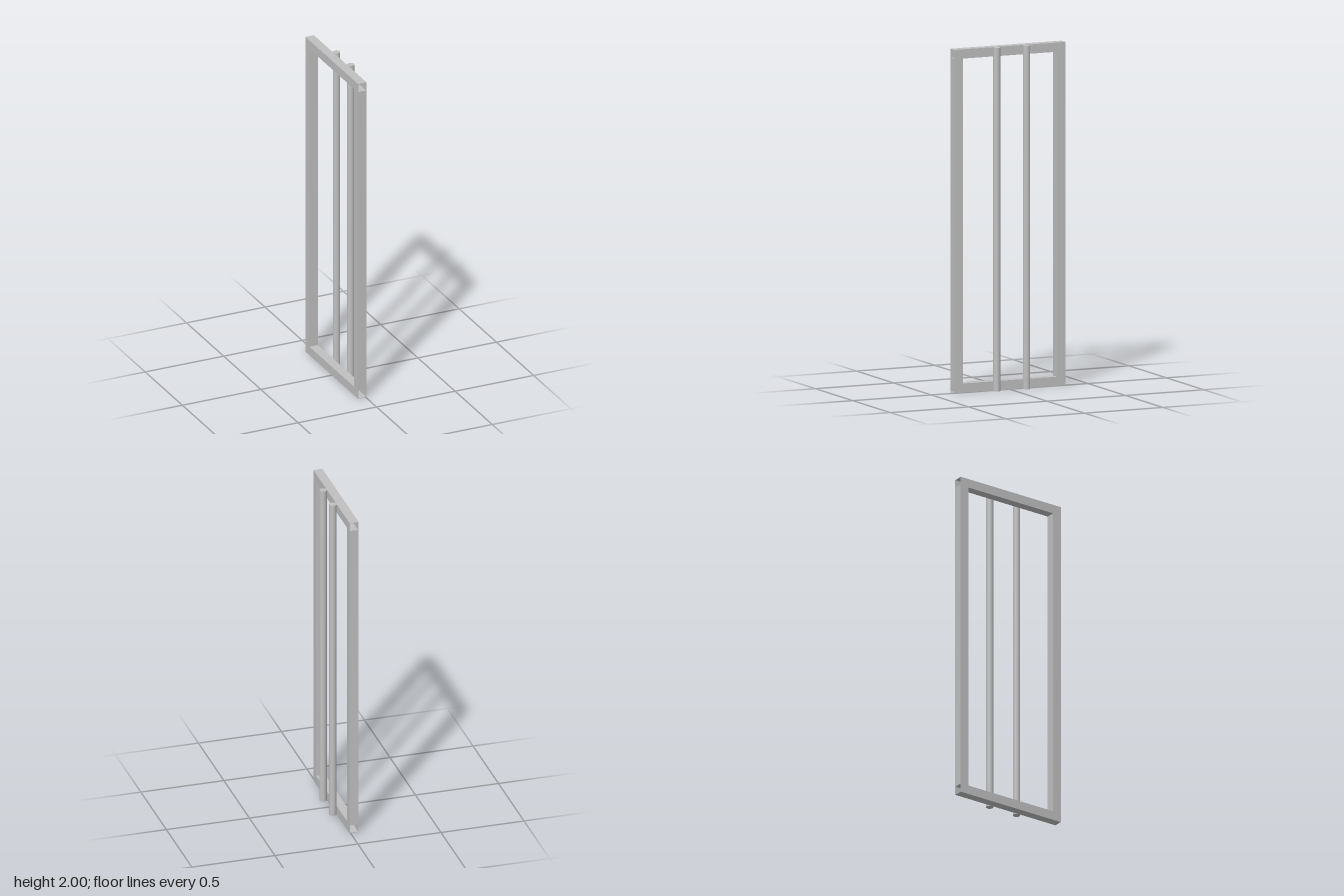
import * as THREE from 'three';

const HEIGHT = 2;
const HALF_DEPTH = 0.355;
const TUBE = 0.054;
const WALL = 0.003;
const FRAME_X = -0.0215;
const ROD_RADIUS = 0.0213;

// Square hollow tube, open at both ends, centred and running along z
function squareTube(length) {
  const square = (size, Type) => {
    const h = size / 2;
    return new Type([[-h, -h], [h, -h], [h, h], [-h, h]].map(([x, y]) => new THREE.Vector2(x, y)));
  };
  const shape = square(TUBE, THREE.Shape);
  shape.holes.push(square(TUBE - 2 * WALL, THREE.Path));
  return new THREE.ExtrudeGeometry(shape, { depth: length, bevelEnabled: false })
    .translate(0, 0, -length / 2);
}

export function createModel() {
  const model = new THREE.Group();
  model.name = 'barredFrame';
  const steel = new THREE.MeshStandardMaterial({ color: 0xc0c0c0 });
  steel.name = 'steel';

  const add = (name, geometry, x, y, z) => {
    const mesh = new THREE.Mesh(geometry, steel);
    mesh.name = name;
    mesh.position.set(x, y, z);
    model.add(mesh);
  };

  // Top and bottom rails run the full depth with open ends
  const rail = squareTube(HALF_DEPTH * 2);
  add('bottomRail', rail, FRAME_X, TUBE / 2, 0);
  add('topRail', rail, FRAME_X, HEIGHT - TUBE / 2, 0);

  // Posts stand between the rails, round rods run past them on the left side
  const post = squareTube(HEIGHT - 2 * TUBE).rotateX(Math.PI / 2);
  const rod = new THREE.CylinderGeometry(ROD_RADIUS, ROD_RADIUS, HEIGHT, 32);
  for (const [side, sign] of [['front', 1], ['back', -1]]) {
    add(side + 'Post', post, FRAME_X, HEIGHT / 2, sign * (HALF_DEPTH - TUBE / 2));
    add(side + 'Rod', rod, 0.027, HEIGHT / 2, sign * 0.095);
  }
  return model;
}
